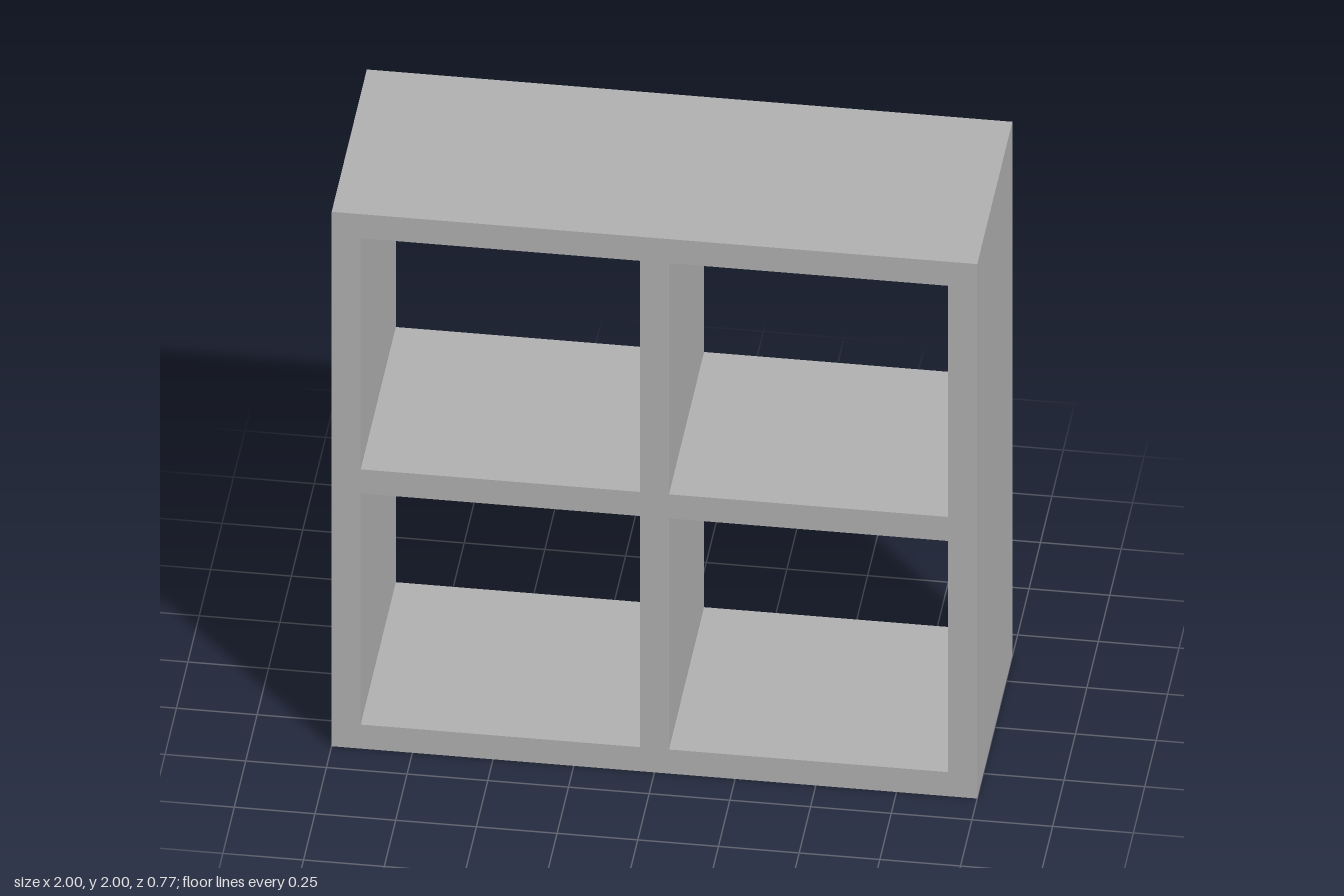
import * as THREE from 'three';

const SIZE = 2, DEPTH = 0.77, BOARD = 0.09;
const CELL = (SIZE - 3 * BOARD) / 2;

// Adds a closed rectangle to a shape or path
function rect(path, x, y, w, h) {
  path.moveTo(x, y);
  path.lineTo(x + w, y);
  path.lineTo(x + w, y + h);
  path.lineTo(x, y + h);
  path.closePath();
  return path;
}

export function createModel() {
  const group = new THREE.Group();
  group.name = 'cubeShelf';

  const grey = new THREE.MeshStandardMaterial({ color: 0xb2b2b2 });
  grey.name = 'grey';

  // Square outline with a two by two grid of open compartments
  const outline = rect(new THREE.Shape(), -SIZE / 2, 0, SIZE, SIZE);
  for (let row = 0; row < 2; row++) {
    for (let col = 0; col < 2; col++) {
      const x = -SIZE / 2 + BOARD + col * (CELL + BOARD);
      const y = BOARD + row * (CELL + BOARD);
      outline.holes.push(rect(new THREE.Path(), x, y, CELL, CELL));
    }
  }

  const geometry = new THREE.ExtrudeGeometry(outline, { depth: DEPTH, bevelEnabled: false });
  geometry.translate(0, 0, -DEPTH / 2);
  const frame = new THREE.Mesh(geometry, grey);
  frame.name = 'shelfFrame';
  group.add(frame);

  return group;
}
